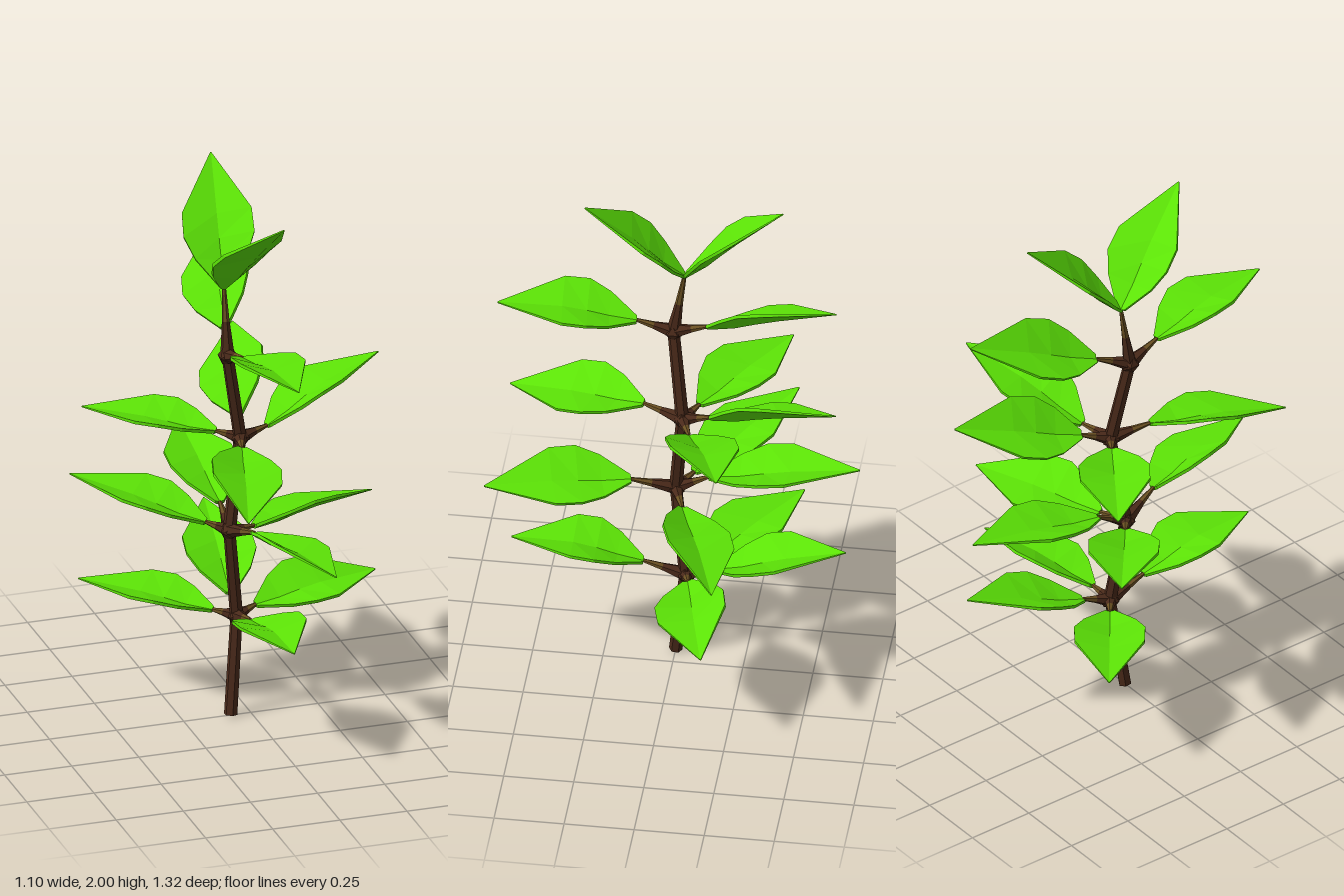
import * as THREE from 'three';

const V = (x, y, z) => new THREE.Vector3(x, y, z);
const UP = V(0, 1, 0);
const bark = new THREE.MeshStandardMaterial({ color: 0x4a2a1a, flatShading: true });
const stalkMat = new THREE.MeshStandardMaterial({ color: 0x6a5022, flatShading: true });
const leafMat = new THREE.MeshStandardMaterial({ color: 0x5ce306, flatShading: true, side: THREE.DoubleSide });

// Tapered six-sided rod between two points
function rod(name, a, b, ra, rb, material) {
  const d = b.clone().sub(a);
  const mesh = new THREE.Mesh(new THREE.CylinderGeometry(rb, ra, d.length(), 6), material);
  mesh.position.copy(a).addScaledVector(d, 0.5);
  mesh.quaternion.setFromUnitVectors(UP, d.normalize());
  mesh.name = name;
  return mesh;
}

// Leaf cross-sections: [fraction of length, half width, edge rise, arch]
const SECTIONS = [
  [0, 0.016, 0.006, 0],
  [0.2, 0.092, 0.032, -0.004],
  [0.36, 0.126, 0.04, 0.002],
  [0.54, 0.124, 0.032, 0.006],
  [1, 0.002, 0, 0],
];

// Thin folded blade running from base to tip; bend lifts its middle
function leaf(name, base, tip, roll, bend) {
  const axis = tip.clone().sub(base);
  const dir = axis.clone().normalize();
  const side = UP.clone().cross(dir).normalize().applyAxisAngle(dir, roll);
  const normal = dir.clone().cross(side);
  const pos = [], index = [], thick = 0.012, n = 6;
  for (const [t, w, rise, arch] of SECTIONS) {
    const th = t === 1 ? 0.004 : thick;
    const lift = arch + bend * Math.sin(Math.PI * t);
    const ring = [[w, rise], [0, 0], [-w, rise], [-w, rise - th], [0, -th], [w, rise - th]];
    for (const [s, h] of ring) {
      const p = base.clone().addScaledVector(axis, t).addScaledVector(side, s).addScaledVector(normal, h + lift);
      pos.push(p.x, p.y, p.z);
    }
  }
  for (let i = 0; i < SECTIONS.length - 1; i++) {
    for (let j = 0; j < n; j++) {
      const a = i * n + j, b = i * n + (j + 1) % n;
      index.push(a, b, b + n, a, b + n, a + n);
    }
  }
  // Close both ends
  const e = (SECTIONS.length - 1) * n;
  for (const [a, b, c, d] of [[0, 1, 4, 5], [1, 2, 3, 4]]) {
    index.push(a, c, b, a, d, c, e + a, e + b, e + c, e + a, e + c, e + d);
  }
  const g = new THREE.BufferGeometry();
  g.setAttribute('position', new THREE.Float32BufferAttribute(pos, 3));
  g.setIndex(index);
  const flat = g.toNonIndexed();
  flat.computeVertexNormals();
  const mesh = new THREE.Mesh(flat, leafMat);
  mesh.name = name;
  return mesh;
}

// Zigzag stem joints, each with leaves as [name, tip, stalk length, stalk rise, roll, bend]
const JOINTS = [
  { at: V(-0.04, 0.36, -0.04), leaves: [
    ['front', V(-0.03, 0.47, 0.58), 0.15, 0.045, 0, 0.018],
    ['back', V(0.03, 0.565, -0.62), 0.11, 0.04, 0, 0],
    ['left', V(0.52, 0.41, -0.17), 0.08, 0.025, 0.25, 0.008],
    ['right', V(-0.51, 0.42, -0.4), 0.09, 0.01, 0, 0]] },
  { at: V(-0.08, 0.71, 0), leaves: [
    ['front', V(0.1, 0.78, 0.66), 0.16, 0.05, -0.3, 0.005],
    ['back', V(-0.055, 0.87, -0.66), 0.12, 0.06, 0, 0],
    ['left', V(0.52, 0.7, -0.21), 0.11, -0.01, -0.3, 0.006],
    ['right', V(-0.55, 0.84, -0.375), 0.09, 0.02, 0, 0]] },
  { at: V(-0.03, 1.05, -0.03), leaves: [
    ['front', V(-0.21, 1.01, 0.61), 0.15, 0.025, -0.2, 0.004],
    ['back', V(0.13, 1.24, -0.6), 0.11, 0.04, -0.5, 0],
    ['left', V(0.55, 1.22, -0.23), 0.12, 0.015, -0.15, 0.014],
    ['right', V(-0.51, 1.1, -0.36), 0.09, 0.015, 0, 0]] },
  { at: V(-0.09, 1.39, 0.01), leaves: [
    ['front', V(-0.03, 1.5, 0.63), 0.13, 0.045, -0.1, 0.014],
    ['back', V(0.05, 1.63, -0.59), 0.13, 0.055, -0.45, 0]] },
];

export function createModel() {
  const plant = new THREE.Group();
  plant.name = 'leafySprig';

  let previous = V(-0.075, 0, 0);
  JOINTS.forEach(({ at, leaves }, i) => {
    const level = new THREE.Group();
    level.name = `level${i + 1}`;
    level.add(rod('stemSegment', previous, at, 0.024, 0.022, bark));

    // Swelling where the stalks meet the stem
    const knot = new THREE.Mesh(new THREE.IcosahedronGeometry(0.036, 0), bark);
    knot.position.copy(at);
    knot.name = 'knot';
    level.add(knot);

    for (const [name, tip, length, rise, roll, bend] of leaves) {
      const out = tip.clone().sub(at).setY(0).normalize();
      const base = at.clone().addScaledVector(out, length).setY(at.y + rise);
      const mid = at.clone().lerp(base, 0.55);
      level.add(rod(name + 'StalkRoot', at, mid, 0.028, 0.014, bark));
      level.add(rod(name + 'Stalk', mid, base, 0.014, 0.007, stalkMat));
      level.add(leaf(name + 'Leaf', base, tip, roll, bend));
    }
    plant.add(level);
    previous = at;
  });

  // Tapering shoot with the top pair of leaves
  const crown = V(-0.09, 1.64, -0.03);
  const middle = previous.clone().lerp(crown, 0.5);
  plant.add(rod('shootBase', previous, middle, 0.026, 0.014, bark));
  plant.add(rod('shootTip', middle, crown, 0.014, 0.007, stalkMat));
  plant.add(leaf('topFrontLeaf', crown, V(0.02, 1.985, 0.31), 0, 0));
  plant.add(leaf('topBackLeaf', crown, V(-0.02, 2, -0.39), -0.1, 0));
  return plant;
}
